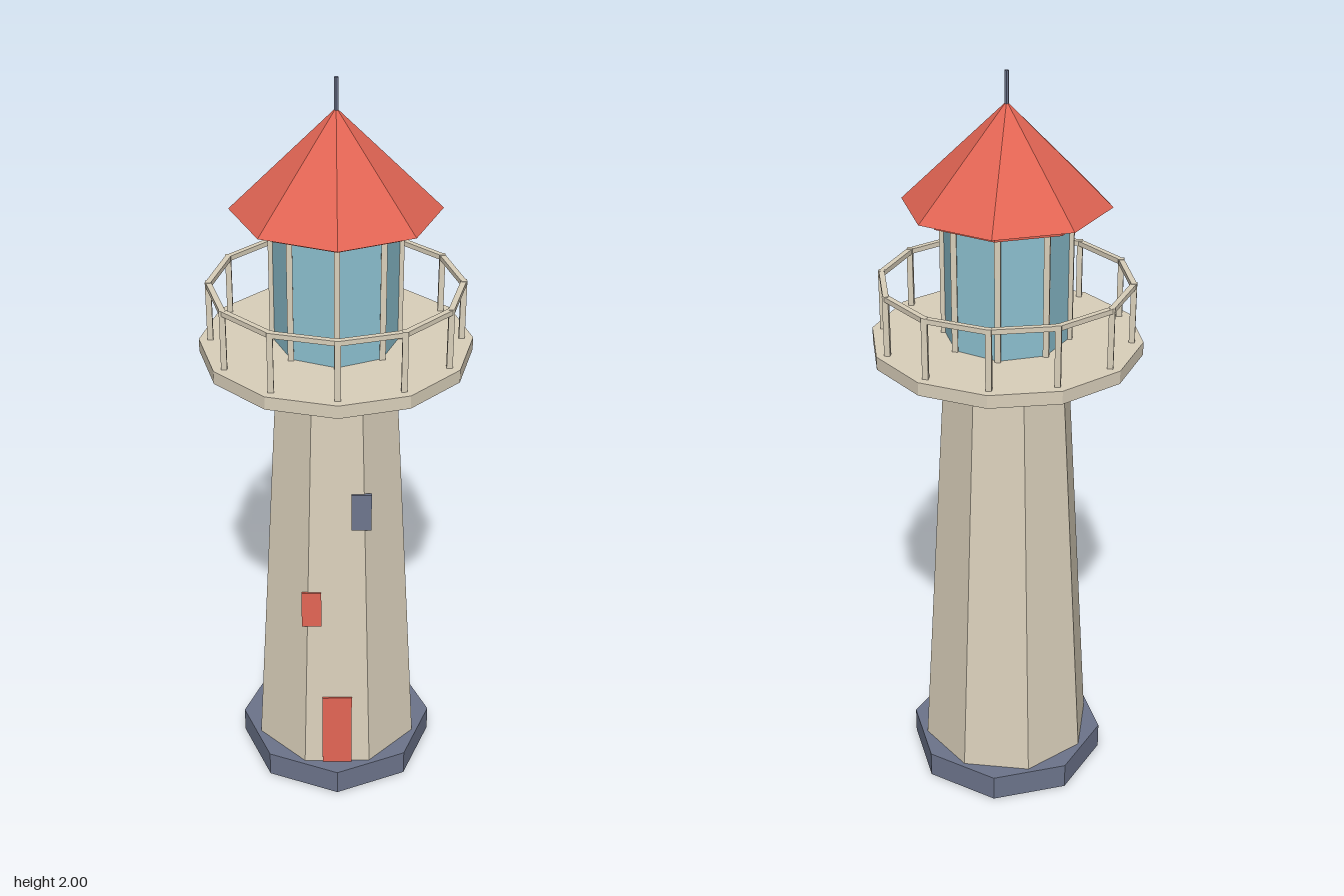
import * as THREE from 'three';

const flat = (name, color) => {
  const m = new THREE.MeshStandardMaterial({ color, flatShading: true });
  m.name = name;
  return m;
};

export function createModel() {
  const stone = flat('stone', 0xdad0bb);
  const red = flat('red', 0xe06453);
  const slate = flat('slate', 0x6c748b);
  const glass = flat('glass', 0x8cc0cf);

  const model = new THREE.Group();
  model.name = 'lighthouse';

  const add = (name, geometry, material, parent = model) => {
    const mesh = new THREE.Mesh(geometry, material);
    mesh.name = name;
    parent.add(mesh);
    return mesh;
  };

  // Upright prism or frustum between two heights
  const prism = (name, rTop, rBottom, y0, y1, sides, material) => {
    const mesh = add(name, new THREE.CylinderGeometry(rTop, rBottom, y1 - y0, sides), material);
    mesh.position.y = (y0 + y1) / 2;
    return mesh;
  };

  // Square posts standing on a circle
  const posts = (name, count, radius, size, y0, y1) => {
    const group = new THREE.Group();
    group.name = name;
    model.add(group);
    const geometry = new THREE.BoxGeometry(size, y1 - y0, size);
    for (let i = 0; i < count; i++) {
      const a = (i / count) * Math.PI * 2;
      add(name + (i + 1), geometry, stone, group)
        .position.set(Math.sin(a) * radius, (y0 + y1) / 2, Math.cos(a) * radius);
    }
  };

  // Plinth and tapering tower, the tower turned so a flat side faces front
  const towerBase = 0.07, towerTop = 1.28, rBase = 0.239, rTop = 0.165;
  prism('plinth', 0.272, 0.272, 0, 0.074, 8, slate);
  prism('tower', rTop, rBase, towerBase, towerTop, 8, stone).rotation.y = Math.PI / 8;

  // Thin door and window plates leaning with the front wall
  const apothem = Math.cos(Math.PI / 8);
  const lean = Math.atan(((rBase - rTop) * apothem) / (towerTop - towerBase));
  const plate = (name, x, y, w, h, material) => {
    const t = (y - towerBase) / (towerTop - towerBase);
    const mesh = add(name, new THREE.BoxGeometry(w, h, 0.009), material);
    mesh.position.set(x, y, THREE.MathUtils.lerp(rBase, rTop, t) * apothem + 0.001);
    mesh.rotation.x = -lean;
  };
  plate('door', 0, 0.183, 0.082, 0.23, red);
  plate('lowerWindow', -0.069, 0.593, 0.053, 0.106, red);
  plate('upperWindow', 0.064, 0.895, 0.053, 0.106, slate);

  // Gallery deck with railing
  prism('galleryDeck', 0.352, 0.352, 1.28, 1.315, 12, stone);
  posts('railingPost', 12, 0.322, 0.015, 1.31, 1.476);
  const railProfile = [[0.314, 1.462], [0.329, 1.462], [0.329, 1.475], [0.314, 1.475], [0.314, 1.462]]
    .map(([r, y]) => new THREE.Vector2(r, y));
  add('handrail', new THREE.LatheGeometry(railProfile, 12), stone);

  // Glazed lantern room with corner bars
  prism('lanternGlass', 0.161, 0.161, 1.31, 1.655, 8, glass);
  posts('lanternBar', 8, 0.162, 0.015, 1.31, 1.655);

  // Roof with eaves ring and finial
  prism('eavesRing', 0.217, 0.217, 1.65, 1.675, 8, red);
  const roof = add('roof', new THREE.ConeGeometry(0.264, 0.254, 8), red);
  roof.position.y = 1.672 + 0.127;
  prism('finial', 0.006, 0.006, 1.91, 2, 6, slate);

  return model;
}
